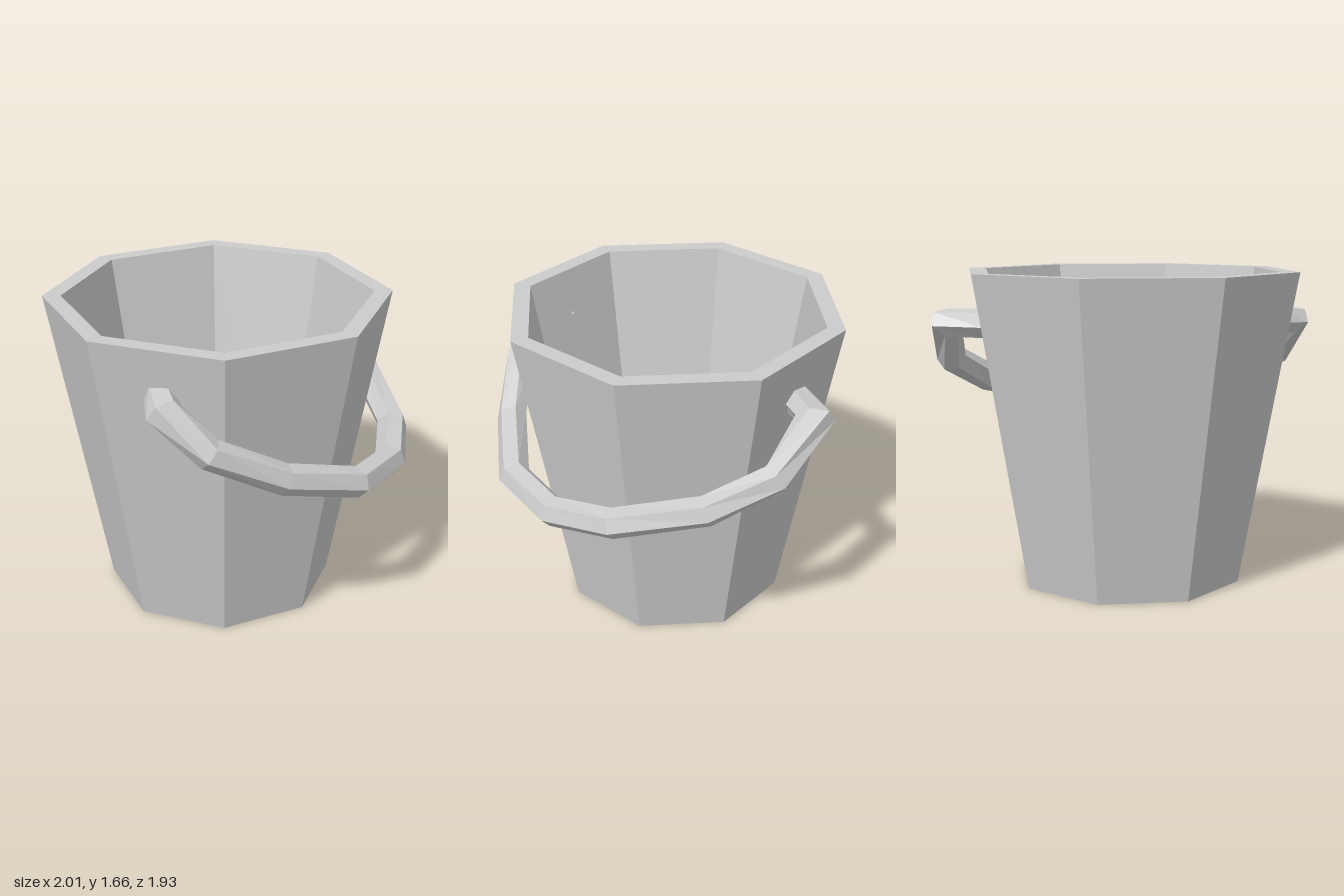
import * as THREE from 'three';

const material = new THREE.MeshStandardMaterial({ color: 0xcccccc, flatShading: true });

// Six-sided rod swept along a polyline, mitred at each bend
function sweepRod(points, radius, sides, startAngle) {
  const position = [];
  const index = [];
  const up = new THREE.Vector3(0, 1, 0);
  points.forEach((p, i) => {
    const before = p.clone().sub(points[Math.max(i - 1, 0)]).normalize();
    const after = points[Math.min(i + 1, points.length - 1)].clone().sub(p).normalize();
    const tangent = before.clone().add(after).normalize();
    const inner = i > 0 && i < points.length - 1;
    const stretch = inner ? 1 / Math.max(tangent.dot(after), 0.75) : 1;
    const side = tangent.clone().cross(up).normalize();
    const lift = side.clone().cross(tangent).normalize();
    for (let j = 0; j < sides; j++) {
      const a = startAngle + (j / sides) * Math.PI * 2;
      const v = p.clone()
        .addScaledVector(side, Math.cos(a) * radius * stretch)
        .addScaledVector(lift, Math.sin(a) * radius);
      position.push(v.x, v.y, v.z);
    }
  });
  for (let i = 0; i < points.length - 1; i++) {
    for (let j = 0; j < sides; j++) {
      const a = i * sides + j;
      const b = i * sides + ((j + 1) % sides);
      index.push(a, a + sides, b, b, a + sides, b + sides);
    }
  }
  const geometry = new THREE.BufferGeometry();
  geometry.setAttribute('position', new THREE.Float32BufferAttribute(position, 3));
  geometry.setIndex(index);
  geometry.computeVertexNormals();
  return geometry;
}

export function createModel() {
  const model = new THREE.Group();
  model.name = 'bucket';

  // Tapered eight-sided pail with a thick wall and floor
  const profile = [[0, 0], [0.61, 0], [0.91, 1.665], [0.815, 1.665], [0.555, 0.22], [0, 0.22]]
    .map(([r, y]) => new THREE.Vector2(r, y));
  const pail = new THREE.Mesh(new THREE.LatheGeometry(profile, 8), material);
  pail.name = 'pail';
  pail.position.set(-0.09, 0, -0.058);
  model.add(pail);

  // Handle hanging down over the front, both ends sunk into the wall
  const path = [
    [-0.785, 1.4, 0.205], [-0.905, 1.39, 0.355], [-0.8, 1.2, 0.55], [-0.48, 1.01, 0.74],
    [-0.09, 0.895, 0.885], [0.28, 0.865, 0.82], [0.565, 0.905, 0.62], [0.83, 1.02, 0.235],
    [0.925, 1.17, -0.09], [0.835, 1.39, -0.36], [0.59, 1.39, -0.375],
  ].map((p) => new THREE.Vector3(...p));
  const handle = new THREE.Mesh(sweepRod(path, 0.08, 6, -0.2), material);
  handle.name = 'handle';
  model.add(handle);

  return model;
}
